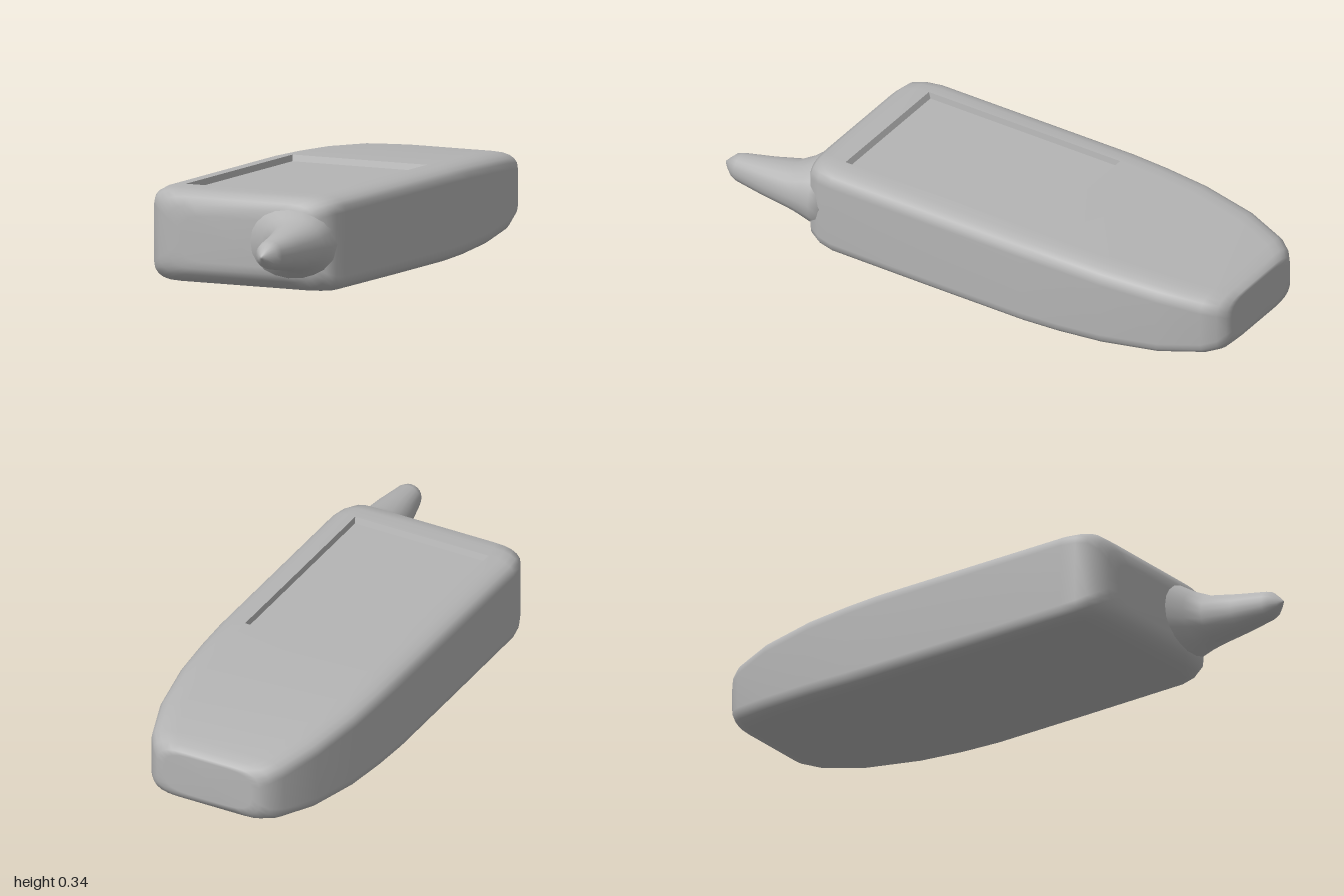
import * as THREE from 'three';
import { mergeVertices } from 'three/addons/utils/BufferGeometryUtils.js';

const STEPS = 5; // segments per rounded corner

// Rounded-rectangle cross-section, counterclockwise seen from +z
function section(z, x0, x1, y0, y1, rx, ry, power) {
  const points = [];
  const corners = [[x1 - rx, y1 - ry], [x0 + rx, y1 - ry], [x0 + rx, y0 + ry], [x1 - rx, y0 + ry]];
  corners.forEach(([cx, cy], k) => {
    for (let i = 0; i <= STEPS; i++) {
      const a = (k + i / STEPS) * Math.PI / 2;
      const c = Math.cos(a), s = Math.sin(a);
      points.push(new THREE.Vector3(
        cx + rx * Math.sign(c) * Math.abs(c) ** power,
        cy + ry * Math.sign(s) * Math.abs(s) ** power, z));
    }
  });
  return points;
}

// Skin a list of rings; skip(i, j) leaves a quad open
function loft(rings, { capStart = false, skip = () => false } = {}) {
  const n = rings[0].length, pos = [], index = [];
  rings.forEach(r => r.forEach(p => pos.push(p.x, p.y, p.z)));
  for (let i = 0; i < rings.length - 1; i++) {
    for (let j = 0; j < n; j++) {
      if (skip(i, j)) continue;
      const a = i * n + j, b = i * n + (j + 1) % n;
      index.push(a, b, b + n, a, b + n, a + n);
    }
  }
  const cap = (i, flip) => {
    const c = rings[i].reduce((s, p) => s.add(p), new THREE.Vector3()).divideScalar(n);
    const center = pos.length / 3;
    pos.push(c.x, c.y, c.z);
    for (let j = 0; j < n; j++) {
      const a = i * n + j, b = i * n + (j + 1) % n;
      index.push(center, flip ? b : a, flip ? a : b);
    }
  };
  if (capStart) cap(0, true);
  cap(rings.length - 1, false);
  let g = new THREE.BufferGeometry();
  g.setAttribute('position', new THREE.Float32BufferAttribute(pos, 3));
  g.setIndex(index);
  g = mergeVertices(g, 1e-5);
  g.computeVertexNormals();
  return g;
}

export function createModel() {
  const group = new THREE.Group();
  const grey = new THREE.MeshStandardMaterial({ color: 0xb4b4b4 });
  grey.name = 'plain grey';
  const add = (name, geometry) => {
    const mesh = new THREE.Mesh(geometry, grey);
    mesh.name = name;
    group.add(mesh);
  };

  // Handset shell: z, half width, bottom, top
  const BACK = -0.26, FRONT = 0.525;
  const shell = [
    [-1, 0.17, 0.105, 0.255], [-0.998, 0.2, 0.09, 0.267], [-0.975, 0.228, 0.068, 0.28],
    [-0.93, 0.26, 0.055, 0.292], [-0.78, 0.31, 0.032, 0.312], [-0.57, 0.345, 0.014, 0.327],
    [-0.4, 0.356, 0.004, 0.334], [BACK, 0.361, 0, 0.337], [0.1, 0.361, 0, 0.337],
    [FRONT, 0.361, 0.002, 0.337], [0.58, 0.352, 0.008, 0.335], [0.62, 0.335, 0.022, 0.33],
    [0.645, 0.3, 0.042, 0.312], [0.657, 0.26, 0.065, 0.285], [0.66, 0.21, 0.09, 0.25],
  ];
  const bodyRings = shell.map(([z, w, y0, y1]) => section(z, -w, w, y0, y1, 0.1, 0.055, 0.8));
  add('body', loft(bodyRings, {
    capStart: true,
    // opening for the screen in the top strip
    skip: (i, j) => j === STEPS && shell[i][0] >= BACK && shell[i][0] < FRONT,
  }));

  // Sunken screen: sloped walls and a flat floor
  const rect = (w, y, z0, z1) =>
    [[w, z1], [w, z0], [-w, z0], [-w, z1]].map(([x, z]) => new THREE.Vector3(x, y, z));
  const recess = loft([
    rect(0.261, 0.337, BACK, FRONT),
    rect(0.258, 0.315, BACK + 0.008, FRONT - 0.008),
  ]).toNonIndexed();
  recess.computeVertexNormals();
  add('screenRecess', recess);

  // Stub antenna flaring out of the left front corner: z, x range, y range
  const stub = [
    [0.56, -0.02, 0.352, 0.025, 0.322], [0.62, 0.0, 0.357, 0.036, 0.31],
    [0.66, 0.06, 0.357, 0.062, 0.29], [0.69, 0.12, 0.355, 0.08, 0.274],
    [0.73, 0.17, 0.352, 0.095, 0.261], [0.83, 0.207, 0.345, 0.112, 0.246],
    [0.94, 0.235, 0.331, 0.13, 0.229], [0.962, 0.242, 0.322, 0.138, 0.222],
    [0.985, 0.262, 0.302, 0.157, 0.2], [1, 0.277, 0.287, 0.174, 0.184],
  ];
  add('antenna', loft(stub.map(([z, x0, x1, y0, y1]) =>
    section(z, x0, x1, y0, y1, (x1 - x0) / 2, (y1 - y0) / 2, 0.9)), { capStart: true }));

  return group;
}
